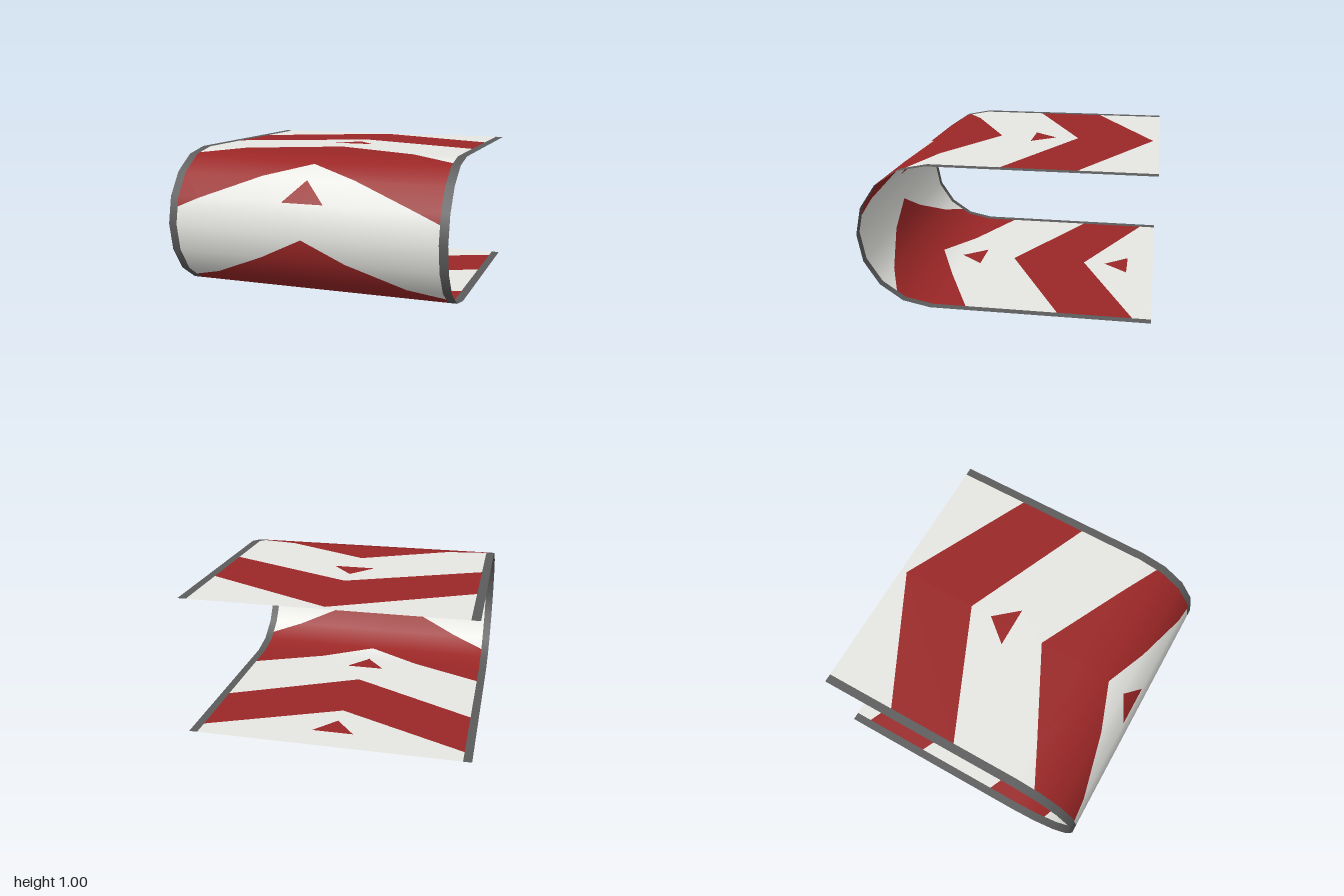
import * as THREE from 'three';

const FLAT = 1.5;                                  // length of each flat run
const R = 0.5, SEGS = 8;                           // half-round bend
const CHORD = 2 * R * Math.sin(Math.PI / SEGS / 2);
const LENGTH = 2 * FLAT + SEGS * CHORD;            // unrolled length of the sheet
const PERIOD = LENGTH / 4;                         // four chevrons along it
const EDGE = 0.94;                                 // inner side of the border

const material = (name, color) =>
  new THREE.MeshStandardMaterial({ name, color, side: THREE.DoubleSide });

// Distances along the sheet where it bends
const stops = [0];
for (let i = 0; i <= SEGS; i++) stops.push(FLAT + i * CHORD);
stops.push(LENGTH);

// Position on the bent sheet for a distance s within strip i
function bend(s, i) {
  if (i === 0) return { y: 2 * R, z: s - 1, a: 0 };
  if (i === stops.length - 2) return { y: 0, z: LENGTH - s - 1, a: Math.PI };
  const t = (s - stops[i]) / CHORD;
  const a0 = (i - 1) * Math.PI / SEGS, a1 = i * Math.PI / SEGS;
  const mix = THREE.MathUtils.lerp;
  return {
    y: R + R * mix(Math.cos(a0), Math.cos(a1), t),
    z: 0.5 + R * mix(Math.sin(a0), Math.sin(a1), t),
    a: mix(a0, a1, t),
  };
}

// Keep the part of a convex polygon where sign * (s - limit) >= 0
function clip(poly, limit, sign) {
  const out = [];
  poly.forEach((p, i) => {
    const q = poly[(i + 1) % poly.length];
    const dp = sign * (p[1] - limit), dq = sign * (q[1] - limit);
    if (dp >= 0) out.push(p);
    if (dp * dq < 0) {
      const t = dp / (dp - dq);
      out.push([p[0] + (q[0] - p[0]) * t, limit]);
    }
  });
  return out;
}

// Wrap flat convex (x, s) polygons, each mirrored in x, around the bend
function wrap(name, polys, mat) {
  const pos = [], nor = [];
  for (const half of polys) {
    for (const side of [1, -1]) {
      let poly = half.map(([x, s]) => [x * side, s]);
      if (THREE.ShapeUtils.area(poly.map(([x, y]) => ({ x, y }))) > 0) poly.reverse();
      for (let i = 0; i < stops.length - 1; i++) {
        const piece = clip(clip(poly, stops[i], 1), stops[i + 1], -1);
        for (let k = 1; k < piece.length - 1; k++) {
          for (const [x, s] of [piece[0], piece[k], piece[k + 1]]) {
            const { y, z, a } = bend(s, i);
            pos.push(x, y, z);
            nor.push(0, Math.cos(a), Math.sin(a));
          }
        }
      }
    }
  }
  const geo = new THREE.BufferGeometry();
  geo.setAttribute('position', new THREE.Float32BufferAttribute(pos, 3));
  geo.setAttribute('normal', new THREE.Float32BufferAttribute(nor, 3));
  const mesh = new THREE.Mesh(geo, mat);
  mesh.name = name;
  return mesh;
}

export function createModel() {
  const group = new THREE.Group();
  group.name = 'bentSheet';
  const white = material('offWhite', 0xe8e8e4);
  const red = material('darkRed', 0x9b2626);
  const grey = material('borderGrey', 0x5c5c5c);

  // Right half of the pattern; wrap() mirrors it
  const background = [[[0, 0], [EDGE, 0], [EDGE, 0.51], [0, 0.045]]];
  const chevrons = [], triangles = [];
  for (let k = 0; k < 4; k++) {
    const o = k * PERIOD;
    const shift = (poly) => poly.map(([x, s]) => [x, s + o]);
    const last = k === 3;
    chevrons.push(shift([[0, 0.045], [EDGE, 0.51], [EDGE, 1.015], [0, 0.603]]));
    triangles.push(shift([[0, 0.765], [0.15, 0.94], [0, 0.94]]));
    background.push(
      shift([[0, 0.603], [EDGE, 1.015], [0.15, 0.94], [0, 0.765]]),
      shift([[0, 0.94], [0.15, 0.94], [EDGE, 1.015],
        [EDGE, PERIOD + (last ? 0 : 0.51)], [0, PERIOD + (last ? 0 : 0.045)]]),
    );
  }
  const border = [[[EDGE, 0], [1, 0], [1, LENGTH], [EDGE, LENGTH]]];

  group.add(
    wrap('background', background, white),
    wrap('chevrons', chevrons, red),
    wrap('triangles', triangles, red),
    wrap('sideBorders', border, grey),
  );
  return group;
}
